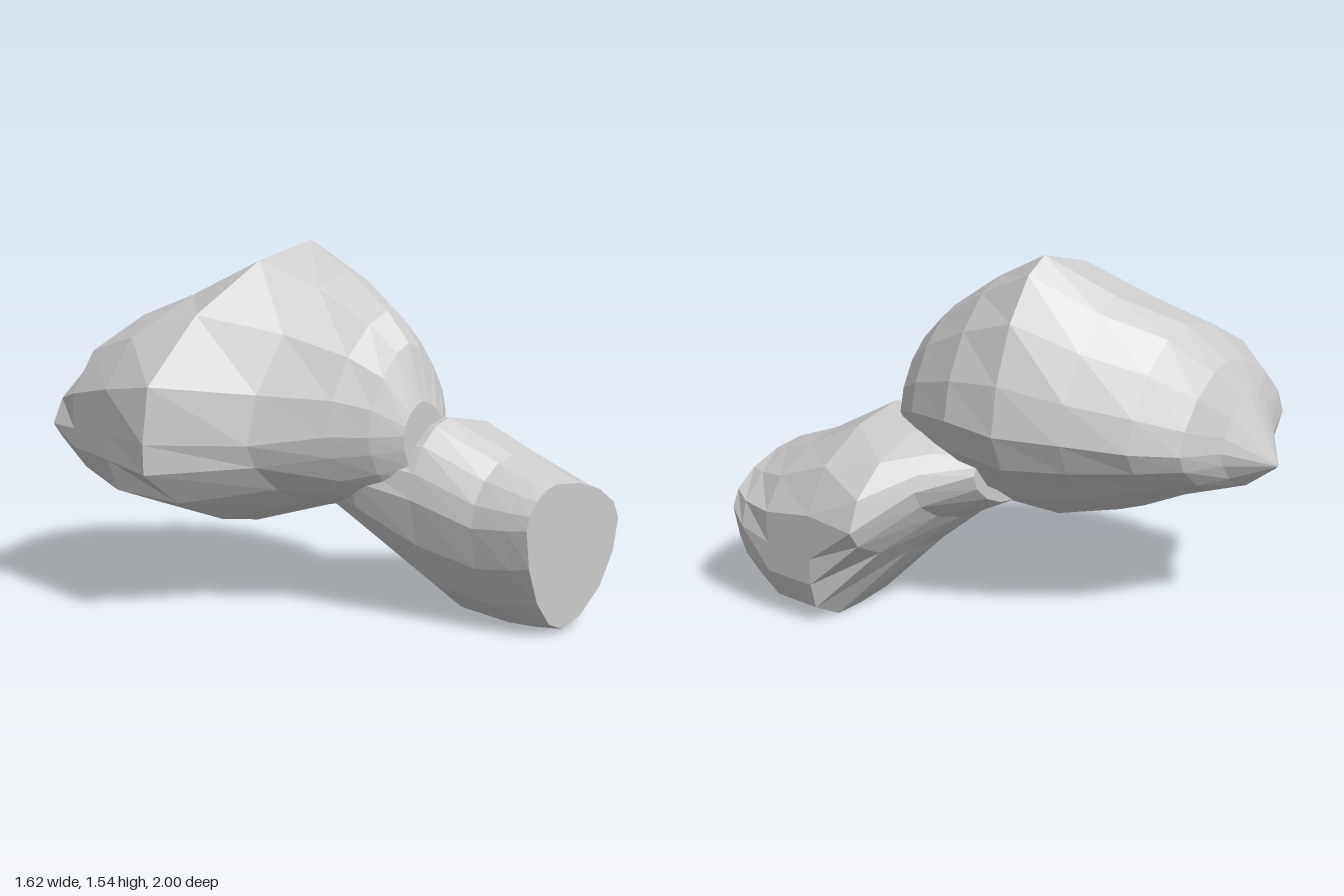
import * as THREE from 'three';

const SIDES = 16;
const material = new THREE.MeshStandardMaterial({ color: 0xcccccc, flatShading: true });

// Ring through the left, right, top and bottom extremes of one section.
// Power 1 gives elliptical quarters, higher powers flatten them.
// Rings are trimmed by the flat cuts at x = +-0.81 and y = 0.
function ring([z, lx, ly, rx, ry, tx, ty, bx, by], power) {
  const points = [];
  for (let j = 0; j < SIDES; j++) {
    const a = (j / SIDES) * Math.PI * 2;
    const c = Math.cos(a), s = Math.sin(a);
    const u = Math.abs(c) ** power, v = Math.abs(s) ** power;
    const [sx, sy] = c >= 0 ? [rx, ry] : [lx, ly];
    const [ex, ey] = s >= 0 ? [tx, ty] : [bx, by];
    const x = ex + (sx - ex) * u;
    const y = sy + (ey - sy) * v;
    points.push(new THREE.Vector3(THREE.MathUtils.clamp(x, -0.81, 0.81), Math.max(0, y), z));
  }
  return points;
}

// Closed faceted skin over sections listed from front to back
function loft(name, sections, power) {
  const rings = sections.map((s) => ring(s, power));
  const positions = [];
  const tri = (...corners) => corners.forEach((p) => positions.push(p.x, p.y, p.z));
  const centre = (r) => r.reduce((sum, p) => sum.add(p), new THREE.Vector3()).divideScalar(SIDES);
  const last = rings.length - 1;
  const front = centre(rings[0]), back = centre(rings[last]);
  for (let j = 0; j < SIDES; j++) {
    const k = (j + 1) % SIDES;
    for (let i = 0; i < last; i++) {
      const a = rings[i][j], b = rings[i][k], c = rings[i + 1][j], d = rings[i + 1][k];
      tri(a, c, b);
      tri(b, c, d);
    }
    tri(front, rings[0][j], rings[0][k]);
    tri(back, rings[last][k], rings[last][j]);
  }
  const geometry = new THREE.BufferGeometry();
  geometry.setAttribute('position', new THREE.Float32BufferAttribute(positions, 3));
  geometry.computeVertexNormals();
  const mesh = new THREE.Mesh(geometry, material);
  mesh.name = name;
  return mesh;
}

export function createModel() {
  const group = new THREE.Group();
  group.name = 'facetedBlob';

  // Each section: z, left x y, right x y, top x y, bottom x y
  // Large upper mass, cut flat at its outer side and pointed at the back
  group.add(loft('upperMass', [
    [0.50, 0.00, 0.80, 0.25, 0.80, 0.11, 0.93, 0.10, 0.60],
    [0.42, -0.12, 0.80, 0.34, 0.85, 0.11, 1.16, 0.05, 0.55],
    [0.30, -0.24, 0.80, 0.41, 0.88, 0.11, 1.28, 0.00, 0.50],
    [0.07, -0.46, 0.76, 0.48, 0.90, 0.11, 1.43, 0.00, 0.44],
    [-0.16, -0.87, 0.78, 0.47, 0.87, 0.11, 1.545, -0.20, 0.365],
    [-0.40, -1.01, 0.80, 0.35, 0.85, -0.05, 1.38, -0.30, 0.41],
    [-0.63, -0.97, 0.78, 0.21, 0.82, -0.20, 1.27, -0.35, 0.51],
    [-0.78, -0.81, 0.78, 0.06, 0.80, -0.30, 1.12, -0.35, 0.56],
    [-0.86, -0.58, 0.76, -0.13, 0.78, -0.35, 0.98, -0.35, 0.585],
    [-1.00, -0.36, 0.70, -0.34, 0.70, -0.35, 0.71, -0.35, 0.69],
  ], 1.25));

  // Lower limb, cut flat at the front, side and base
  group.add(loft('lowerLimb', [
    [1.00, 0.18, 0.47, 0.78, 0.42, 0.36, 0.63, 0.42, 0.015],
    [0.92, 0.155, 0.46, 0.82, 0.36, 0.36, 0.66, 0.46, -0.02],
    [0.77, 0.11, 0.45, 0.88, 0.32, 0.36, 0.715, 0.50, -0.05],
    [0.53, 0.01, 0.54, 0.91, 0.30, 0.24, 0.85, 0.51, -0.03],
    [0.30, -0.10, 0.60, 0.81, 0.465, 0.20, 0.83, 0.25, 0.26],
    [0.16, -0.10, 0.60, 0.57, 0.60, 0.20, 0.80, 0.12, 0.39],
    [0.00, -0.10, 0.60, 0.38, 0.65, 0.15, 0.75, 0.10, 0.47],
  ], 1.1));

  return group;
}
